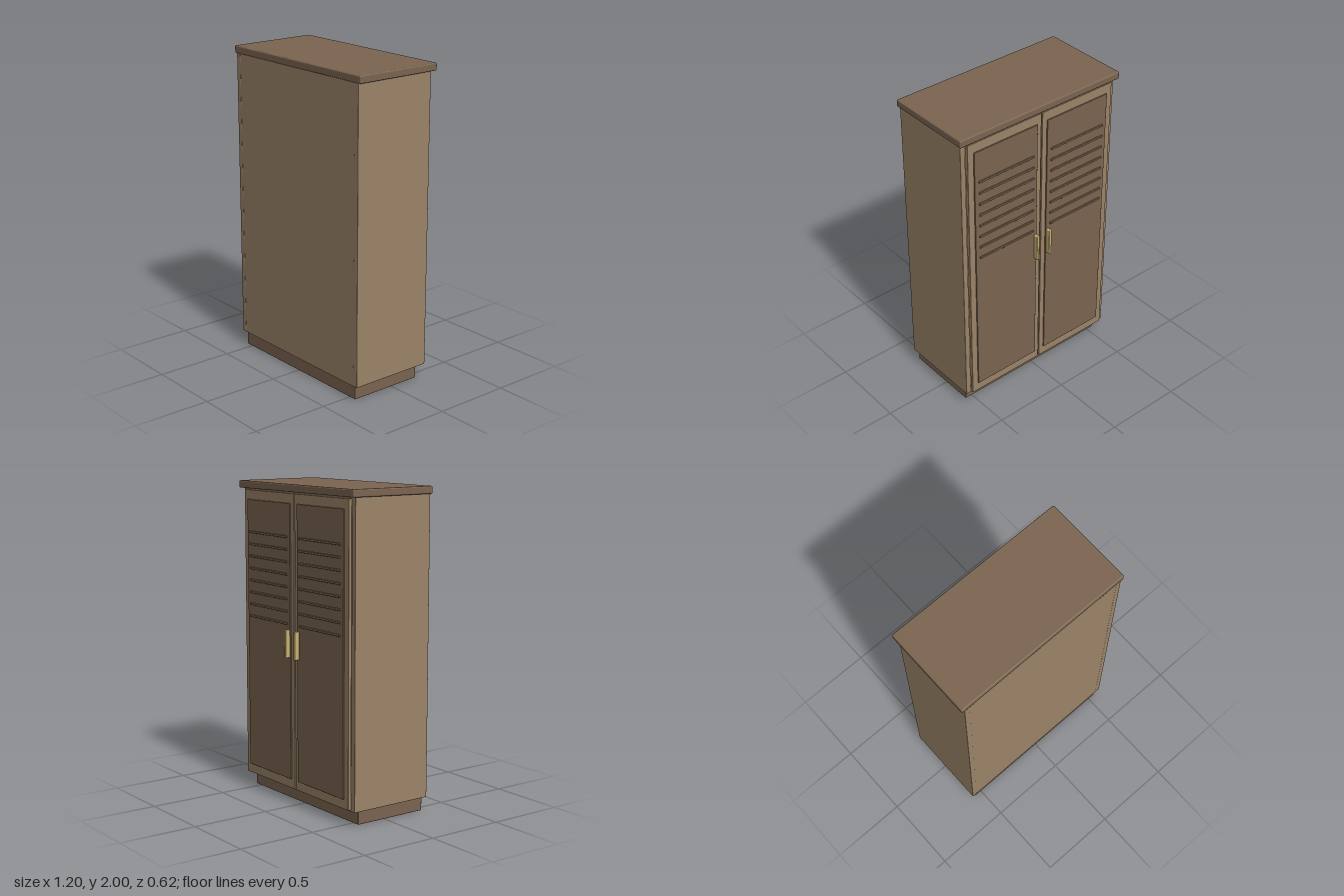
import * as THREE from 'three';
import { RoundedBoxGeometry } from 'three/addons/geometries/RoundedBoxGeometry.js';

const wood = new THREE.MeshStandardMaterial({ color: 0x9c8468 });
const darkWood = new THREE.MeshStandardMaterial({ color: 0x7b6450 });
const brass = new THREE.MeshStandardMaterial({ color: 0xc8b272 });

// Box given by its extents on each axis; a radius rounds its edges
function block(parent, name, material, [x0, x1], [y0, y1], [z0, z1], radius = 0) {
  const size = [x1 - x0, y1 - y0, z1 - z0];
  const geometry = radius
    ? new RoundedBoxGeometry(...size, 2, radius)
    : new THREE.BoxGeometry(...size);
  const mesh = new THREE.Mesh(geometry, material);
  mesh.name = name;
  mesh.position.set((x0 + x1) / 2, (y0 + y1) / 2, (z0 + z1) / 2);
  parent.add(mesh);
  return mesh;
}

// Extents along x, mirrored for the other side
const mirror = (side, a, b) => (side > 0 ? [a, b] : [-b, -a]);

function createDoor(side) {
  const door = new THREE.Group();
  door.name = side > 0 ? 'leftDoor' : 'rightDoor';
  block(door, 'doorLeaf', wood, mirror(side, 0.004, 0.546), [0.1, 1.945], [-0.272, -0.25], 0.003);
  block(door, 'doorPanel', darkWood, mirror(side, 0.037, 0.505), [0.16, 1.885], [-0.28, -0.268], 0.003);
  // Row of slats in the upper half
  for (let i = 0; i < 8; i++) {
    const y = 1.145 + i * 0.0765;
    block(door, 'slat', darkWood, mirror(side, 0.065, 0.477), [y - 0.007, y + 0.007], [-0.288, -0.274], 0.003);
  }
  block(door, 'handle', brass, mirror(side, 0.039, 0.059), [0.935, 1.112], [-0.312, -0.279], 0.005);
  return door;
}

export function createModel() {
  const cabinet = new THREE.Group();
  cabinet.name = 'cabinet';

  // Plinth and top
  block(cabinet, 'plinth', darkWood, [-0.55, 0.55], [0, 0.092], [-0.2, 0.295], 0.004);
  block(cabinet, 'top', darkWood, [-0.6, 0.6], [1.953, 2], [-0.28, 0.31], 0.008);

  // Carcass
  for (const side of [1, -1]) {
    const name = side > 0 ? 'leftSide' : 'rightSide';
    block(cabinet, name, wood, mirror(side, 0.545, 0.58), [0.09, 1.955], [-0.25, 0.308], 0.003);
  }
  block(cabinet, 'bottomBoard', wood, [-0.546, 0.546], [0.09, 0.13], [-0.249, 0.307]);
  block(cabinet, 'upperBoard', wood, [-0.546, 0.546], [1.915, 1.954], [-0.249, 0.29]);
  block(cabinet, 'wallPanel', wood, [-0.546, 0.546], [0.129, 1.954], [0.285, 0.307]);

  // Doors
  cabinet.add(createDoor(1), createDoor(-1));
  return cabinet;
}
